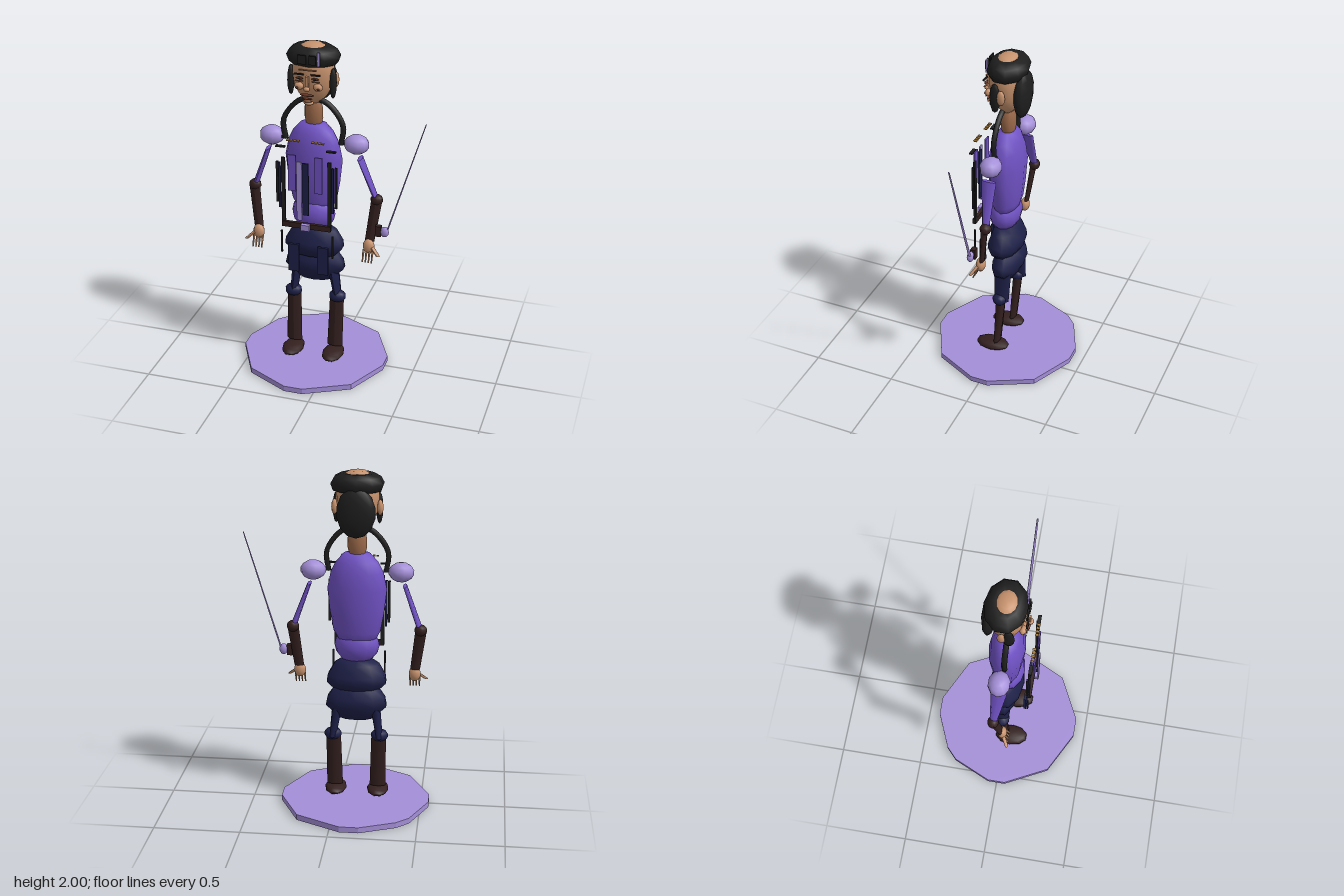
import * as THREE from 'three';

const colour = (name, hex) => {
  const m = new THREE.MeshStandardMaterial({ color: hex });
  m.name = name;
  return m;
};

export function createModel() {
  const purple = colour('purple cloth', 0x7052c4);
  const lavender = colour('lavender', 0xa48fd8);
  const navy = colour('navy cloth', 0x1e2048);
  const brown = colour('dark leather', 0x33201f);
  const skin = colour('skin', 0xc8936e);
  const tan = colour('shaded skin', 0x9c6a4a);
  const black = colour('black hair', 0x1e1e1e);
  const lip = colour('lip brown', 0x6e3a2a);
  const gold = colour('gold', 0xa87c3c);

  const root = new THREE.Group();
  root.name = 'swordFigure';
  const body = new THREE.Group();
  body.name = 'figure';
  body.position.x = -0.115;
  root.add(body);

  const add = (name, geo, mat, x = 0, y = 0, z = 0) => {
    const m = new THREE.Mesh(geo, mat);
    m.name = name;
    m.position.set(x, y, z);
    body.add(m);
    return m;
  };
  const ball = (name, mat, x, y, z, rx, ry, rz, ws = 10, hs = 7) =>
    add(name, new THREE.SphereGeometry(1, ws, hs).scale(rx, ry, rz), mat, x, y, z);
  // box given by its x and y ranges
  const plate = (name, mat, x0, x1, y0, y1, z, d = 0.009) =>
    add(name, new THREE.BoxGeometry(x1 - x0, y1 - y0, d), mat, (x0 + x1) / 2, (y0 + y1) / 2, z);
  // profile turned round the body axis, flattened in z
  const turned = (name, mat, pts, zScale, z = 0, seg = 12) =>
    add(name, new THREE.LatheGeometry(pts.map(p => new THREE.Vector2(...p)), seg).scale(1, 1, zScale), mat, 0, 0, z);
  // limb between two points with an elliptical section at each end
  const limb = (name, mat, a, b, ra, rb, seg = 8) => {
    const g = new THREE.CylinderGeometry(1, 1, 1, seg);
    const p = g.attributes.position;
    const L = THREE.MathUtils.lerp;
    for (let i = 0; i < p.count; i++) {
      const t = p.getY(i) + 0.5;
      p.setXYZ(i,
        L(a[0], b[0], t) + p.getX(i) * L(ra[0], rb[0], t),
        L(a[1], b[1], t),
        L(a[2], b[2], t) + p.getZ(i) * L(ra[1], rb[1], t));
    }
    g.computeVertexNormals();
    return add(name, g, mat);
  };

  // faceted stand
  const outline = [[-0.17, -0.435], [-0.06, -0.435], [0.2, -0.308], [0.325, -0.055], [0.325, 0.05], [0.2, 0.305],
    [-0.06, 0.435], [-0.17, 0.435], [-0.42, 0.305], [-0.55, 0.05], [-0.55, -0.055], [-0.45, -0.28], [-0.38, -0.345]];
  const shape = new THREE.Shape(outline.map(([x, z]) => new THREE.Vector2(x + 0.115, -z)));
  add('stand', new THREE.ExtrudeGeometry(shape, { depth: 0.034, bevelEnabled: false }).rotateX(-Math.PI / 2), lavender);

  // trunk
  turned('torso', purple, [[0, 0.98], [0.1, 1.0], [0.135, 1.07], [0.155, 1.18], [0.17, 1.32], [0.15, 1.42], [0.12, 1.48], [0.075, 1.53], [0, 1.535]], 0.6);
  ball('belly', purple, 0, 0.98, 0.01, 0.13, 0.11, 0.092, 12, 8);
  turned('upperHips', navy, [[0, 0.7], [0.13, 0.71], [0.18, 0.76], [0.175, 0.8], [0.135, 0.87], [0.09, 0.9], [0, 0.905]], 0.56, 0, 10);
  turned('lowerHips', navy, [[0, 0.53], [0.1, 0.54], [0.185, 0.62], [0.175, 0.67], [0.12, 0.75], [0, 0.77]], 0.47, -0.015, 10);
  ball('neck', tan, 0, 1.59, -0.003, 0.056, 0.12, 0.045);

  // collar arch
  const arch = [[-0.163, 1.42], [-0.175, 1.53], [-0.115, 1.63], [-0.05, 1.672], [0.05, 1.672], [0.115, 1.63], [0.175, 1.53], [0.163, 1.42]];
  const curve = new THREE.CatmullRomCurve3(arch.map(([x, y]) => new THREE.Vector3(x, y, 0.012)));
  add('collar', new THREE.TubeGeometry(curve, 24, 0.016, 6), black);

  // head and hair
  turned('head', skin, [[0, 1.655], [0.045, 1.66], [0.085, 1.71], [0.113, 1.77], [0.122, 1.84], [0.12, 1.9], [0.09, 1.97], [0.045, 2.0], [0, 2.0]], 0.82);
  turned('hairBand', black, [[0.11, 1.885], [0.14, 1.89], [0.155, 1.93], [0.135, 1.965], [0.095, 1.987], [0.06, 1.985]], 0.75, -0.005, 10).material = black;
  ball('backHair', black, 0, 1.78, -0.092, 0.11, 0.145, 0.042);

  // face details
  plate('noseBridge', skin, -0.008, 0.008, 1.77, 1.84, 0.115, 0.02);
  ball('noseTip', skin, 0, 1.772, 0.125, 0.019, 0.014, 0.016, 8, 5);
  ball('moustache', lip, 0, 1.735, 0.118, 0.042, 0.009, 0.008, 8, 5);
  ball('mouth', lip, 0, 1.713, 0.114, 0.032, 0.006, 0.007, 8, 5);
  ball('lowerLip', tan, 0, 1.698, 0.112, 0.028, 0.008, 0.008, 8, 5);
  ball('chin', skin, 0, 1.68, 0.09, 0.03, 0.014, 0.02, 8, 5);
  plate('browCrease', tan, -0.05, 0.05, 1.872, 1.877, 0.108);
  plate('centreLock', black, -0.055, -0.008, 1.91, 1.96, 0.112);
  plate('sideLock', black, 0.01, 0.05, 1.91, 1.96, 0.112);
  plate('hairRibbon', lavender, 0.054, 0.067, 1.9, 1.978, 0.1, 0.009);

  for (const s of [-1, 1]) {
    const side = s < 0 ? 'right' : 'left';
    const part = (n) => side + n;
    const strip = (n, mat, x0, x1, y0, y1, z, d) =>
      plate(part(n), mat, Math.min(s * x0, s * x1), Math.max(s * x0, s * x1), y0, y1, z, d);

    // head sides and face halves
    ball(part('SideHair'), black, s * 0.122, 1.785, 0.028, 0.02, 0.09, 0.032, 8, 6);
    ball(part('Ear'), skin, s * 0.128, 1.795, -0.01, 0.018, 0.045, 0.025, 8, 6);
    strip('Brow', black, 0.02, 0.075, 1.848, 1.856, 0.115);
    ball(part('Eye'), lip, s * 0.045, 1.828, 0.112, 0.022, 0.008, 0.006, 8, 5);
    ball(part('Pupil'), black, s * 0.045, 1.828, 0.117, 0.007, 0.006, 0.004, 6, 4);
    strip('EyeFold', tan, 0.025, 0.07, 1.81, 1.814, 0.112);
    ball(part('Cheek'), skin, s * 0.055, 1.775, 0.092, 0.028, 0.022, 0.02, 8, 5);
    ball(part('CheekMark'), lip, s * 0.062, 1.77, 0.112, 0.009, 0.007, 0.004, 6, 4);

    // arm
    ball(part('ShoulderPad'), lavender, s * 0.25, 1.425, -0.003, 0.074, 0.057, 0.063);
    strip('ShoulderStrap', black, 0.15, 0.2, 1.42, 1.435, 0.01, 0.02);
    limb(part('UpperArm'), purple, [s * 0.365, 1.09, -0.02], [s * 0.272, 1.345, 0], [0.018, 0.02], [0.012, 0.045]);
    ball(part('Elbow'), brown, s * 0.367, 1.09, -0.02, 0.037, 0.034, 0.033);
    limb(part('Forearm'), brown, [s * 0.337, 0.84, 0.015], [s * 0.37, 1.1, -0.015], [0.028, 0.012], [0.033, 0.018]);
    ball(part('Hand'), skin, s * 0.335, 0.81, 0.025, 0.035, 0.045, 0.028);
    limb(part('Thumb'), skin, [s * 0.4, 0.77, 0.06], [s * 0.35, 0.815, 0.03], [0.012, 0.01], [0.014, 0.012], 6);
    for (let i = 0; i < 4; i++) {
      const x = s * (0.308 + i * 0.018);
      limb(part('Finger' + (i + 1)), skin, [x, 0.722, 0.063], [x, 0.79, 0.035], [0.004, 0.004], [0.007, 0.007], 6);
    }

    // leg
    limb(part('Thigh'), navy, [s * 0.137, 0.42, -0.02], [s * 0.11, 0.62, -0.015], [0.02, 0.045], [0.03, 0.055]);
    ball(part('Knee'), navy, s * 0.137, 0.43, -0.01, 0.052, 0.038, 0.045);
    limb(part('Boot'), brown, [s * 0.127, 0.1, 0.01], [s * 0.133, 0.43, -0.015], [0.047, 0.018], [0.043, 0.028]);
    ball(part('Foot'), brown, s * 0.126, 0.063, 0.043, 0.065, 0.03, 0.103);

    // coat fronts standing off the chest
    strip('Lapel', purple, 0.055, 0.1, 1.17, 1.39, 0.165);
    strip('CoatEdge', black, 0.125, 0.147, 0.94, 1.36, 0.145, 0.012);
    strip('CoatTrim', navy, 0.15, 0.162, 1.05, 1.33, 0.15);
    strip('OuterTrim', black, 0.166, 0.18, 1.08, 1.33, 0.14, 0.012);
    strip('Epaulette', black, 0.12, 0.175, 1.425, 1.433, 0.152, 0.02);
    for (let i = 0; i < 4; i++)
      strip('GoldStud' + (i + 1), gold, 0.035 + i * 0.02, 0.049 + i * 0.02, 1.47, 1.476, 0.155, 0.02);
    strip('ApronPanel', navy, 0.055, 0.12, 0.635, 0.81, 0.122, 0.015);
    strip('BeltTail', black, 0.147, 0.157, 0.76, 0.9, 0.143);
  }

  // centre coat strips and belt
  plate('lightSash', lavender, -0.045, -0.015, 1.0, 1.36, 0.182);
  plate('darkSash', navy, -0.015, 0.022, 1.03, 1.35, 0.172);
  plate('belt', brown, -0.145, 0.145, 0.935, 0.967, 0.15, 0.02);
  plate('buckle', lavender, -0.025, 0.025, 0.932, 0.968, 0.172, 0.02);

  // sword by the left hand
  plate('swordGrip', brown, 0.378, 0.412, 0.893, 0.957, 0.04, 0.03);
  ball('swordGuard', lavender, 0.433, 0.925, 0.045, 0.026, 0.033, 0.02, 8, 6);
  limb('swordBlade', lavender, [0.445, 0.925, 0.042], [0.658, 1.617, 0.057], [0.005, 0.009], [0.003, 0.005], 6);

  black.side = THREE.DoubleSide;
  return root;
}
